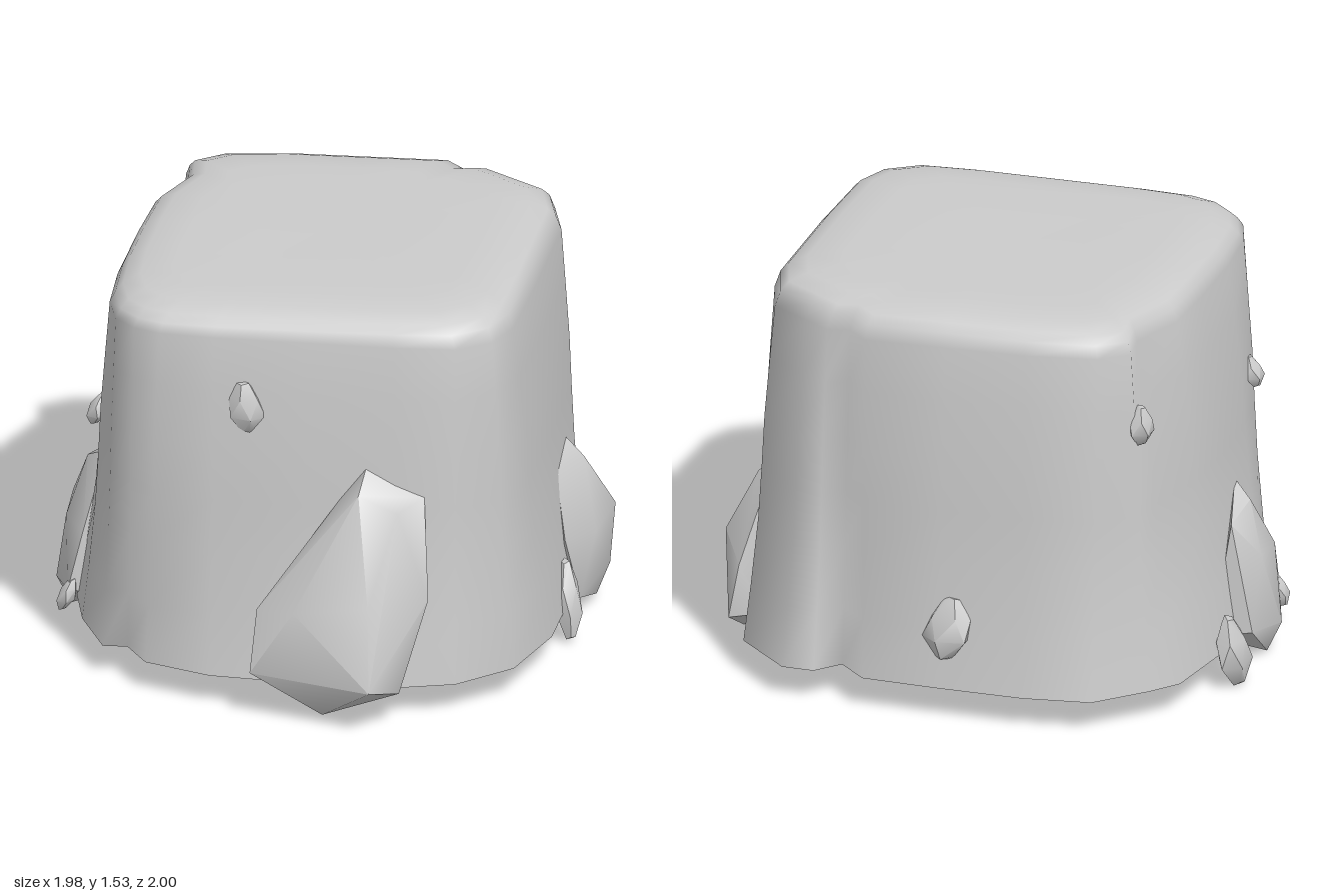
import * as THREE from 'three';
import { mergeVertices, toCreasedNormals } from 'three/addons/utils/BufferGeometryUtils.js';
import { ConvexGeometry } from 'three/addons/geometries/ConvexGeometry.js';

const material = new THREE.MeshStandardMaterial({ color: 0xcccccc, side: THREE.DoubleSide });

// Outline of the stump: [bottom x, bottom z, shoulder x, shoulder z]
const outline = [
  [-0.58, -0.93, -0.56, -0.79], [-0.33, -0.97, -0.30, -0.84], [0.0, -0.975, 0.0, -0.86],
  [0.28, -0.97, 0.30, -0.88], [0.39, -0.87, 0.38, -0.81], [0.47, -0.96, 0.46, -0.83],
  [0.59, -0.96, 0.56, -0.77], [0.80, -0.77, 0.71, -0.68], [0.86, -0.50, 0.77, -0.50],
  [0.88, -0.10, 0.775, 0.0], [0.88, 0.22, 0.77, 0.38], [0.80, 0.52, 0.72, 0.52],
  [0.62, 0.70, 0.60, 0.61], [0.42, 0.77, 0.38, 0.64], [0.10, 0.80, 0.05, 0.66],
  [-0.27, 0.80, -0.28, 0.68], [-0.52, 0.73, -0.48, 0.68], [-0.61, 0.61, -0.58, 0.65],
  [-0.70, 0.62, -0.66, 0.58], [-0.82, 0.40, -0.71, 0.44], [-0.88, 0.20, -0.73, 0.20],
  [-0.90, -0.10, -0.73, -0.10], [-0.88, -0.36, -0.72, -0.36], [-0.83, -0.66, -0.64, -0.58],
  [-0.75, -0.76, -0.66, -0.71],
];

// Levels: [height, flare towards the bottom outline, inset scale]
const levels = [
  [0.13, 1, 1], [0.35, 0.76, 1], [0.6, 0.53, 1], [0.8, 0.42, 1], [1.0, 0.33, 1], [1.22, 0.16, 1],
  [1.42, 0, 1], [1.47, 0, 0.975], [1.5, 0, 0.94], [1.525, 0, 0.86], [1.535, 0, 0.7], [1.535, 0, 0.35],
];

function stumpGeometry() {
  const n = outline.length, positions = [], index = [];
  for (const [y, flare, s] of levels) {
    for (const [bx, bz, tx, tz] of outline) {
      const x = (tx + (bx - tx) * flare) * s;
      const z = (tz + (bz - tz) * flare + 0.09) * s - 0.09;
      const wave = y > 1.45 ? 0.012 * x - 0.018 * Math.max(0, z) : 0;
      positions.push(x, y + wave, z);
    }
  }
  positions.push(0, 1.53, -0.09);
  for (let r = 0; r < levels.length; r++) {
    for (let i = 0; i < n; i++) {
      const a = r * n + i, b = r * n + (i + 1) % n;
      if (r < levels.length - 1) index.push(a, a + n, b, b, a + n, b + n);
      else index.push(a, levels.length * n, b);
    }
  }
  const g = new THREE.BufferGeometry();
  g.setAttribute('position', new THREE.Float32BufferAttribute(positions, 3));
  g.setIndex(index);
  g.computeVertexNormals();
  return g;
}

// Faceted stone wrapped around a few corner points, with softened shading
function stone(name, corners) {
  let g = new ConvexGeometry(corners.map((p) => new THREE.Vector3(...p)));
  g.deleteAttribute('normal');
  g = toCreasedNormals(mergeVertices(g), 0.75);
  const mesh = new THREE.Mesh(g, material);
  mesh.name = name;
  return mesh;
}

// Small stone: an uneven ring of corners between two blunt ends
function pebble(name, [x, y, z], [w, h, d], lean) {
  const corners = [];
  for (const [v, r] of [[-1, 0.35], [-0.35, 1], [0.4, 0.85], [1, 0.35]]) {
    for (let i = 0; i < 5; i++) {
      const a = (i + (v > 0 ? 0.4 : 0)) * Math.PI * 0.4;
      corners.push([x + w * r * Math.cos(a) + lean[0] * v, y + h * (v + (v * v === 1 ? 0.06 * Math.sin(a * 2) : 0)),
        z + d * r * Math.sin(a) + lean[1] * v]);
    }
  }
  return stone(name, corners);
}

export function createModel() {
  const model = new THREE.Group();
  model.name = 'stump';
  const body = new THREE.Mesh(stumpGeometry(), material);
  body.name = 'stumpBody';
  model.add(body);

  // Large stones leaning on the base
  model.add(stone('frontStone', [
    [-0.10, 0.20, 0.90], [-0.09, 0.42, 0.82], [0.16, 0.04, 0.86], [0.36, 0.20, 1.0], [0.44, 0.14, 0.84],
    [0.53, 0.48, 0.75], [0.50, 0.85, 0.67], [0.29, 0.97, 0.67], [0.28, 0.89, 0.79], [0.42, 0.82, 0.77],
    [0.06, 0.45, 0.90], [0.34, 0.50, 0.92], [-0.08, 0.18, 0.74], [0.42, 0.14, 0.65], [0.0, 0.45, 0.62], [0.45, 0.6, 0.6],
  ]));
  model.add(stone('rightStone', [
    [0.86, 0.36, -0.12], [0.82, 0.62, -0.15], [0.82, 0.67, -0.34], [0.89, 0.61, -0.32], [0.88, 0.34, -0.58],
    [0.92, 0.13, -0.58], [0.92, 0.03, -0.40], [0.90, 0.10, -0.20], [0.99, 0.40, -0.40], [0.97, 0.16, -0.40],
    [0.95, 0.35, -0.24], [0.80, 0.13, -0.50], [0.80, 0.15, -0.24], [0.76, 0.45, -0.35],
  ]));
  model.add(stone('leftStone', [
    [-0.80, 0.65, 0.06], [-0.88, 0.60, 0.0], [-0.86, 0.56, -0.16], [-0.95, 0.42, -0.08], [-0.94, 0.40, 0.10],
    [-0.99, 0.12, 0.03], [-0.95, 0.16, -0.19], [-0.94, 0.01, 0.01], [-0.90, 0.18, 0.27], [-0.85, 0.40, 0.24],
    [-0.80, 0.13, -0.20], [-0.79, 0.13, 0.18], [-0.76, 0.40, 0.04],
  ]));

  // Pebbles set into the sides
  const pebbles = [
    ['frontPebble', [-0.155, 1.16, 0.69], [0.07, 0.095, 0.05], [-0.01, 0]],
    ['rightPebble', [0.89, 0.17, -0.03], [0.05, 0.135, 0.055], [-0.015, -0.03]],
    ['backPebble', [-0.04, 0.36, -0.945], [0.095, 0.11, 0.055], [-0.01, 0.015]],
    ['backCornerPebble', [-0.69, 1.14, -0.69], [0.05, 0.07, 0.06], [0, 0]],
    ['leftUpperPebble', [-0.77, 0.95, 0.355], [0.04, 0.055, 0.05], [0.015, 0]],
    ['leftBackPebble', [-0.92, 0.14, -0.32], [0.06, 0.12, 0.10], [0.02, 0]],
    ['leftFrontPebble', [-0.905, 0.155, 0.25], [0.035, 0.06, 0.045], [0.02, 0]],
  ];
  for (const p of pebbles) model.add(pebble(...p));
  return model;
}
